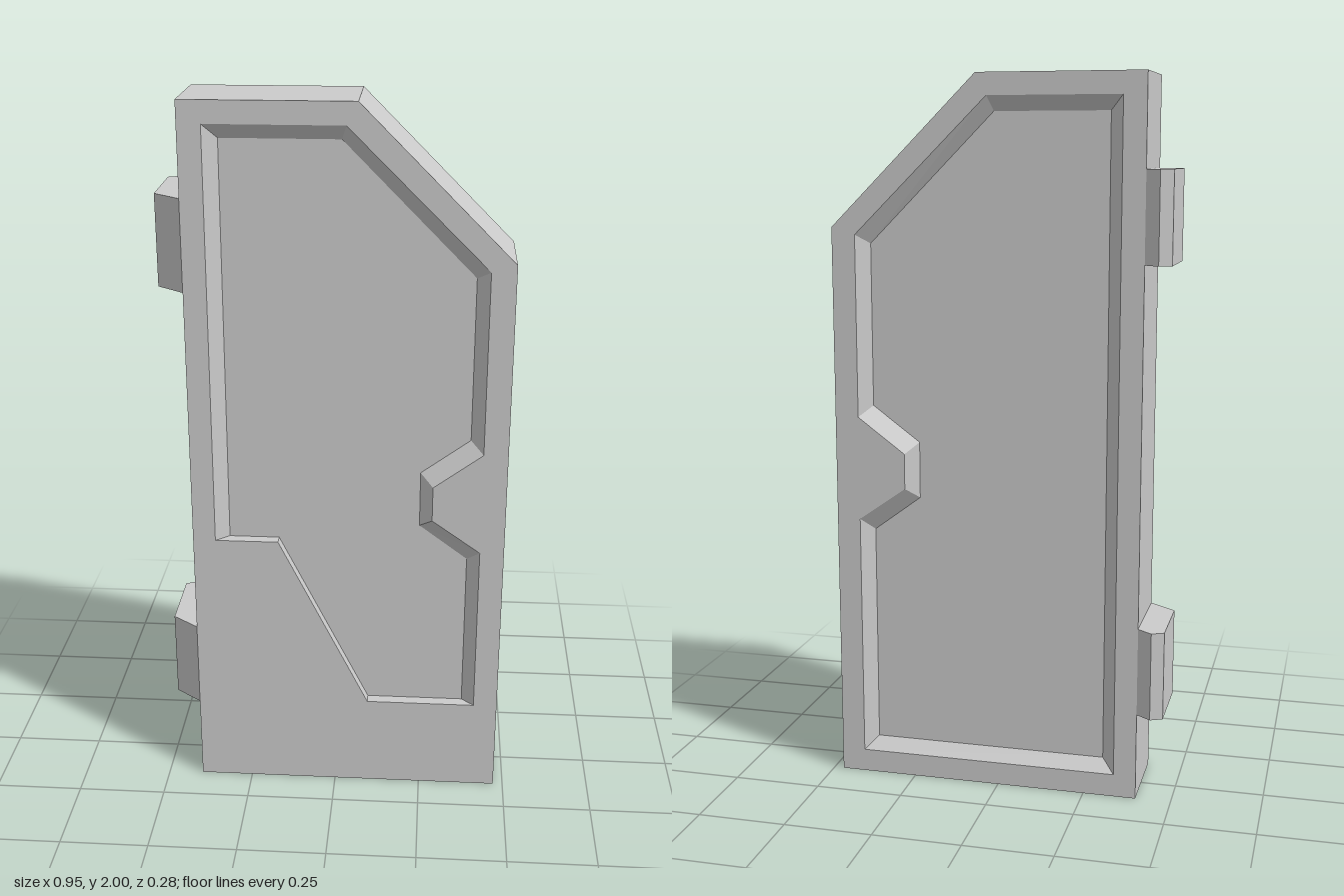
import * as THREE from 'three';

const FRONT = 0.14, BACK = -0.11, DEPTH = 0.033;
const material = new THREE.MeshStandardMaterial({ color: 0xcccccc, flatShading: true });

// Quads joining two matching counter-clockwise loops, a at za and b at zb
function loft(a, za, b, zb) {
  const pos = [];
  a.forEach((p, i) => {
    const j = (i + 1) % a.length;
    const A = [...p, za], B = [...a[j], za], C = [...b[j], zb], D = [...b[i], zb];
    pos.push(...A, ...B, ...C, ...A, ...C, ...D);
  });
  const g = new THREE.BufferGeometry();
  g.setAttribute('position', new THREE.Float32BufferAttribute(pos, 3));
  g.computeVertexNormals();
  return g;
}

// Flat face with an optional opening, turned towards -z when back is true
function flat(outline, z, back, hole) {
  const s = back ? -1 : 1;
  const vec = (pts) => pts.map(([x, y]) => new THREE.Vector2(s * x, y));
  const shape = new THREE.Shape(vec(outline));
  if (hole) shape.holes.push(new THREE.Path(vec(hole)));
  const g = new THREE.ShapeGeometry(shape);
  if (back) g.rotateY(Math.PI);
  return g.translate(0, 0, z);
}

export function createModel() {
  const door = new THREE.Group();
  door.name = 'door';
  const add = (name, geometry) => {
    const mesh = new THREE.Mesh(geometry, material);
    mesh.name = name;
    door.add(mesh);
    return mesh;
  };

  // Door edge
  const outline = [[-0.4, 0], [0.472, 0], [0.472, 1.59], [0.06, 2], [-0.4, 2]];
  add('doorEdge', loft(outline, BACK, outline, FRONT));

  // Shared upper part of the recess: handle notch, slanted corner, top
  const rimTop = [[0.405, 0.765], [0.27, 0.86], [0.27, 0.96], [0.405, 1.06],
    [0.405, 1.57], [0.03, 1.94], [-0.337, 1.94]];
  const floorTop = [[0.37, 0.73], [0.235, 0.83], [0.235, 0.99], [0.37, 1.09],
    [0.37, 1.545], [0.017, 1.9], [-0.3, 1.9]];

  // Front has a stepped kick plate with upright walls, back a bevelled sill
  const step = [[-0.16, 0.78], [0.095, 0.27]];
  const frontRim = [[-0.337, 0.78], ...step, [0.405, 0.27], ...rimTop];
  const frontFloor = [[-0.3, 0.78], ...step, [0.37, 0.27], ...floorTop];
  const backRim = [[-0.337, 0.065], [0.405, 0.065], ...rimTop];
  const backFloor = [[-0.3, 0.1], [0.37, 0.1], ...floorTop];

  add('frontFrame', flat(outline, FRONT, false, frontRim));
  add('frontBevel', loft(frontRim, FRONT, frontFloor, FRONT - DEPTH));
  add('frontPanel', flat(frontFloor, FRONT - DEPTH, false));
  add('backFrame', flat(outline, BACK, true, backRim));
  add('backBevel', loft(backFloor, BACK + DEPTH, backRim, BACK));
  add('backPanel', flat(backFloor, BACK + DEPTH, true));

  // Hinges: plan profile as (x, -z), extruded upwards
  const plan = [[-0.4, -0.14], [-0.4, 0.11], [-0.441, 0.14], [-0.475, 0.124], [-0.475, -0.083]];
  const hinge = new THREE.ExtrudeGeometry(
    new THREE.Shape(plan.map(([x, y]) => new THREE.Vector2(x, y))),
    { depth: 0.25, bevelEnabled: false });
  hinge.rotateX(-Math.PI / 2);
  for (const [name, y] of [['lowerHinge', 0.25], ['upperHinge', 1.5]]) {
    add(name, hinge).position.y = y;
  }
  return door;
}
